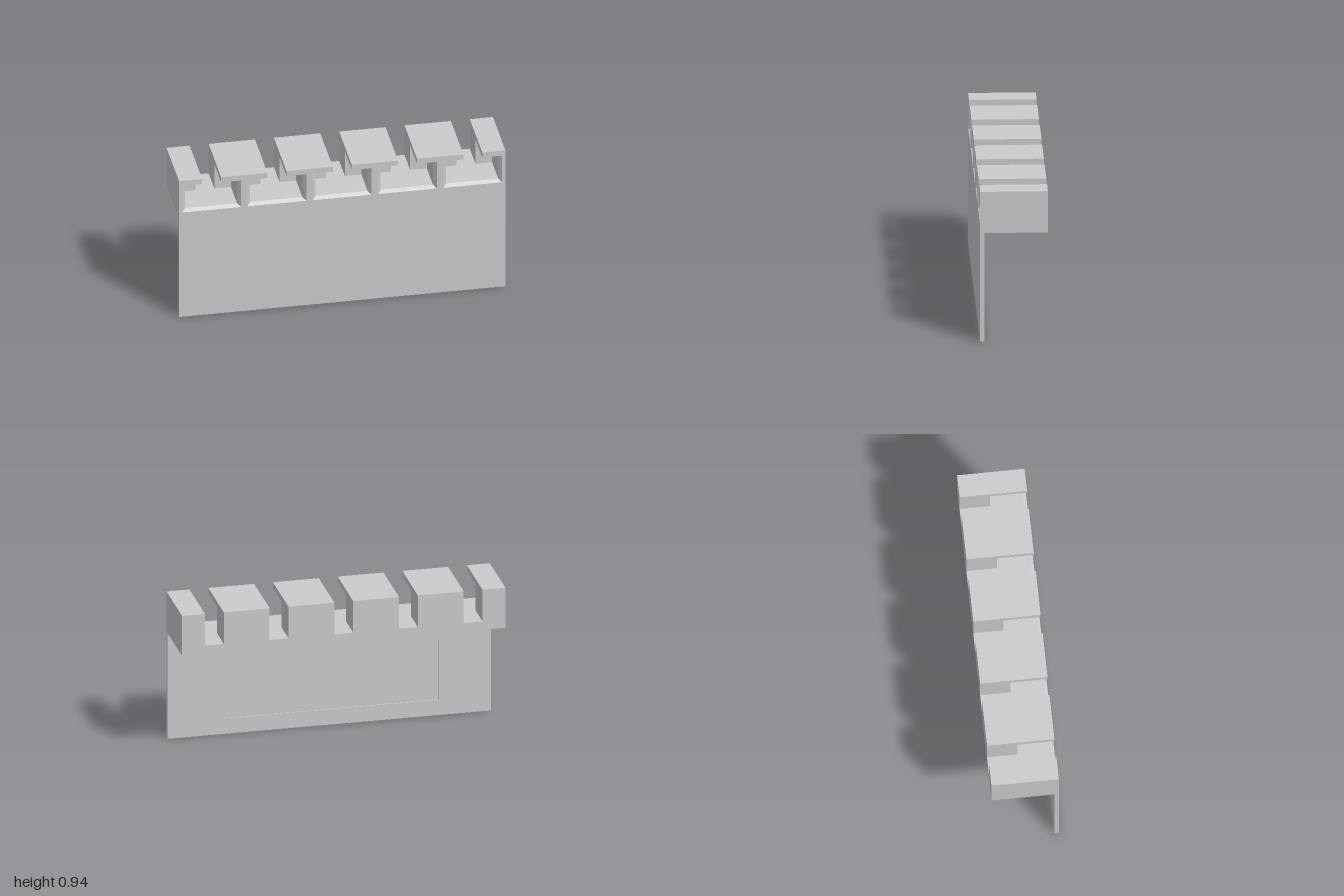
import * as THREE from 'three';

const SLOT = 0.058;              // half width of the open slot
const BAY = 0.16, MOUTH = 0.18;  // half width of a bay inside and at its mouth
const FLOOR = 0.74, MOUTH_FLOOR = 0.725, CEILING = 0.91;
const BASE = 0.685, TOP = 0.945;
const FRONT = 0.204, LIP = 0.18, BAY_BACK = -0.02, BACK = -0.204;
const CENTERS = [-0.8, -0.4, 0, 0.4, 0.8];

// Outline of the rack: straight slots, or T-shaped bays under an overhanging roof
function rackShape(withBays) {
  const pts = [[1, BASE], [1, TOP]];
  for (const c of [...CENTERS].reverse()) {
    const half = withBays
      ? [[SLOT, TOP], [SLOT, CEILING], [BAY, CEILING], [BAY, FLOOR]]
      : [[SLOT, TOP], [SLOT, FLOOR]];
    for (const [u, y] of half) pts.push([c + u, y]);
    for (const [u, y] of half.reverse()) pts.push([c - u, y]);
  }
  pts.push([-1, TOP], [-1, BASE]);
  return new THREE.Shape(pts.map(([x, y]) => new THREE.Vector2(x, y)));
}

function rectangle(x, y0, y1, PathType = THREE.Shape) {
  return new PathType([[-x, y0], [x, y0], [x, y1], [-x, y1]].map(p => new THREE.Vector2(...p)));
}

function slab(shape, z0, z1) {
  return new THREE.ExtrudeGeometry(shape, { depth: z1 - z0, bevelEnabled: false }).translate(0, 0, z0);
}

// Flare the bay walls and floor outwards at the front face
function flareMouths(geometry) {
  const p = geometry.attributes.position;
  for (let i = 0; i < p.count; i++) {
    if (p.getZ(i) < FRONT - 0.001) continue;
    const c = CENTERS.find(v => Math.abs(Math.abs(p.getX(i) - v) - BAY) < 0.001);
    if (c === undefined) continue;
    p.setX(i, c + Math.sign(p.getX(i) - c) * MOUTH);
    if (Math.abs(p.getY(i) - FLOOR) < 0.001) p.setY(i, MOUTH_FLOOR);
  }
  geometry.computeVertexNormals();
  return geometry;
}

export function createModel() {
  const model = new THREE.Group();
  const material = new THREE.MeshStandardMaterial({ color: 0xcccccc });
  const add = (name, geometry) => {
    const mesh = new THREE.Mesh(geometry, material);
    mesh.name = name;
    model.add(mesh);
  };

  // Rack of five bays, from back to front
  add('slottedBackWall', slab(rackShape(false), BACK, BAY_BACK));
  add('bays', slab(rackShape(true), BAY_BACK, LIP));
  add('chamferedMouths', flareMouths(slab(rackShape(true), LIP, FRONT)));

  // Hanging front panel with a shallow rectangular recess on its back
  add('frontPanel', slab(rectangle(1, 0, BASE), 0.183, FRONT));
  const frame = rectangle(1, 0, BASE);
  frame.holes.push(rectangle(0.675, 0.1, 0.49, THREE.Path));
  add('recessFrame', slab(frame, 0.178, 0.183));

  return model;
}
